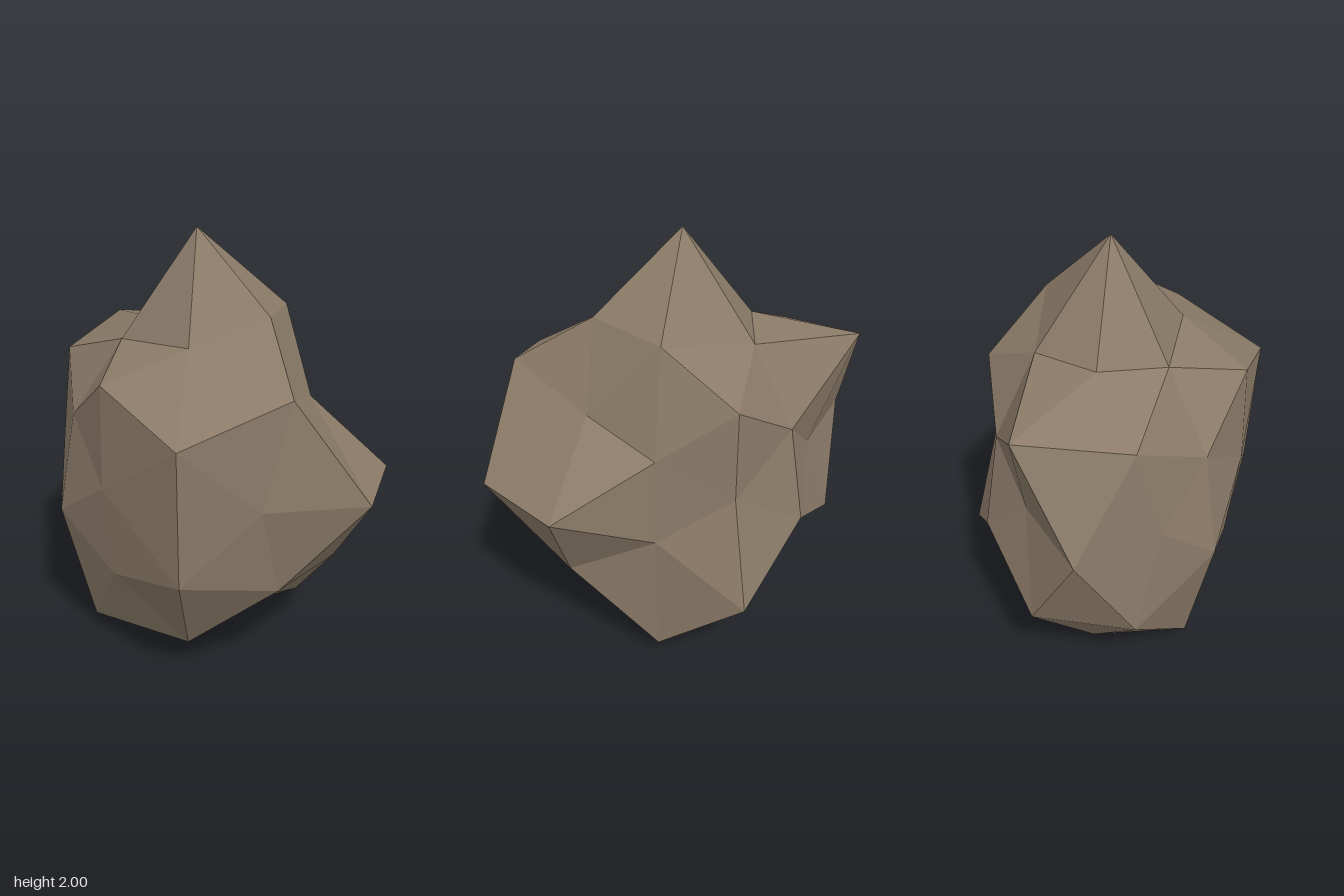
import * as THREE from 'three';

// Radii of the boulder's 42 corners, grouped by the kind of direction they lie in.
// Within a group the order follows the signs: x flips fastest, then y, then z.
const RADII = {
  steep: [0.705, 0.665, 0.918, 1.01, 0.81, 0.69, 1.01, 0.65],  // mostly along y
  deep: [0.98, 0.69, 0.94, 0.79, 0.65, 0.665, 0.66, 0.76],     // mostly along z
  wide: [0.89, 0.815, 0.82, 0.89, 0.65, 0.975, 0.82, 0.89],    // mostly along x
  planeXY: [0.795, 0.67, 0.75, 0.9],
  planeYZ: [0.845, 0.8, 0.79, 0.974],
  planeXZ: [0.787, 0.717, 0.935, 0.63],
  axisX: [0.97, 0.88],
  axisY: [1.0, 0.905],
  axisZ: [0.735, 0.673],
};

const CENTER = new THREE.Vector3(-0.05, 0.95, 0.01);
const STRETCH = new THREE.Vector3(1, 1.05, 0.845);

function radiusFor(dir) {
  const parts = dir.toArray();
  const used = parts.filter((c) => Math.abs(c) > 0.01);
  const index = used.reduce((sum, c, i) => sum + (c < 0 ? 1 << i : 0), 0);
  const axes = ['X', 'Y', 'Z'].filter((_, i) => Math.abs(parts[i]) > 0.01).join('');
  if (used.length === 1) return RADII['axis' + axes][index];
  if (used.length === 2) return RADII['plane' + axes][index];
  const [x, y, z] = parts.map(Math.abs);
  const kind = y > x && y > z ? 'steep' : z > x ? 'deep' : 'wide';
  return RADII[kind][index];
}

export function createModel() {
  const group = new THREE.Group();
  group.name = 'rock';

  const stone = new THREE.MeshStandardMaterial({ color: 0x8b7b68, flatShading: true });
  stone.name = 'stone';

  // Boulder: a faceted sphere with every corner pushed in or out
  const geometry = new THREE.IcosahedronGeometry(1, 1);
  const position = geometry.attributes.position;
  const p = new THREE.Vector3();
  for (let i = 0; i < position.count; i++) {
    p.fromBufferAttribute(position, i);
    p.multiplyScalar(radiusFor(p)).multiply(STRETCH).add(CENTER);
    position.setXYZ(i, p.x, p.y, p.z);
  }
  geometry.computeVertexNormals();

  const boulder = new THREE.Mesh(geometry, stone);
  boulder.name = 'boulder';
  group.add(boulder);
  return group;
}
